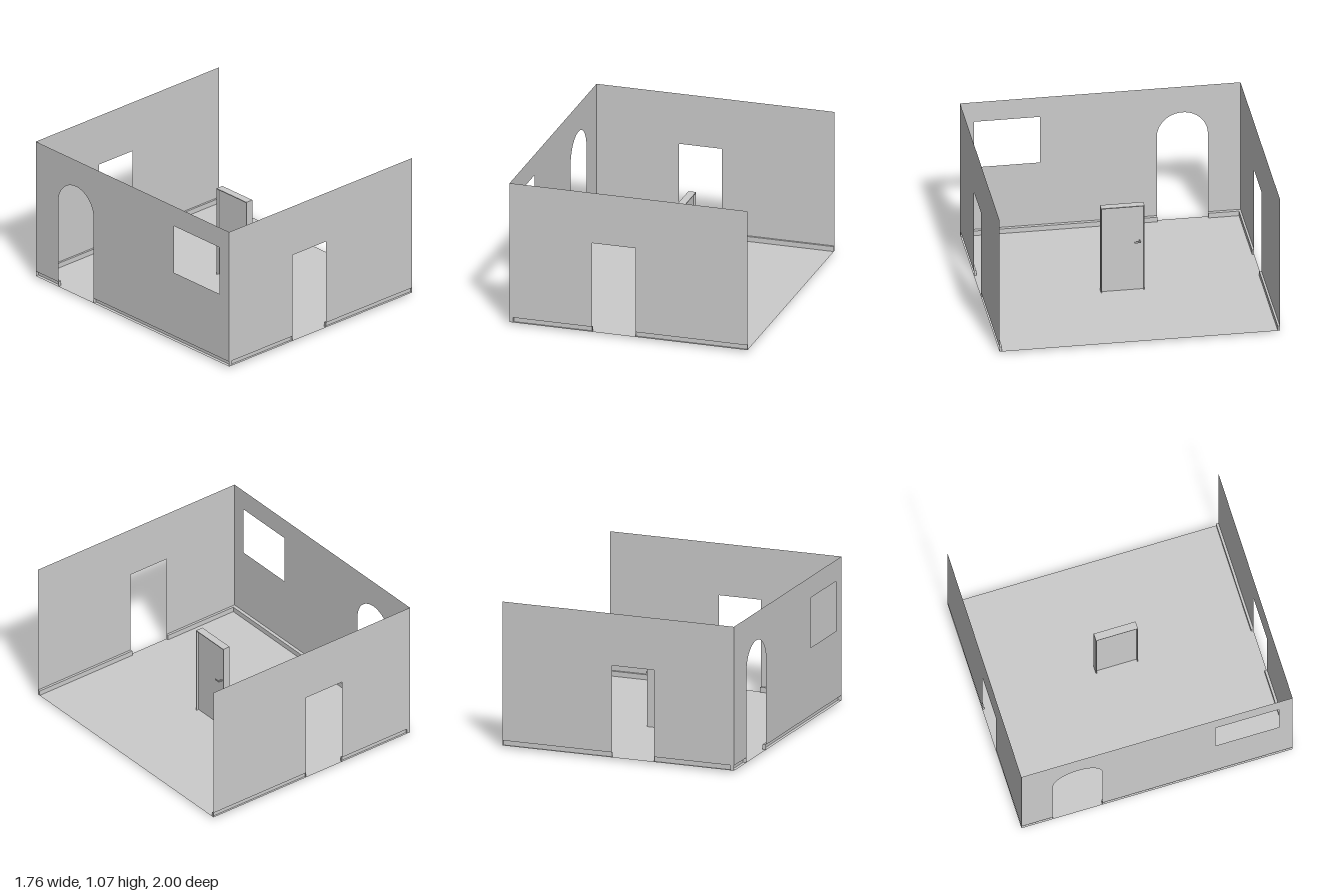
import * as THREE from 'three';

const FLOOR = 0.018, TOP = 1.07, SKIRT = 0.055, X = 0.88, Z = 1;

export function createModel() {
  const model = new THREE.Group();
  const sheet = new THREE.MeshStandardMaterial({ color: 0xcccccc, side: THREE.DoubleSide });

  const add = (parent, name, geometry, x = 0, y = 0, z = 0) => {
    const mesh = new THREE.Mesh(geometry, sheet);
    mesh.name = name;
    mesh.position.set(x, y, z);
    parent.add(mesh);
    return mesh;
  };

  // Wall sheet running from u = -half to half, with one opening cut up from the floor
  function wallShape(half, a, b, head, arched) {
    const s = new THREE.Shape();
    s.moveTo(-half, SKIRT);
    s.lineTo(a, SKIRT);
    s.lineTo(a, head);
    if (arched) s.absarc((a + b) / 2, head, (b - a) / 2, Math.PI, 0, true);
    else s.lineTo(b, head);
    s.lineTo(b, SKIRT);
    s.lineTo(half, SKIRT);
    s.lineTo(half, TOP);
    s.lineTo(-half, TOP);
    s.closePath();
    return s;
  }

  // Skirting shell, open towards the outside: face, ledge and two ends
  function skirting(parent, u0, u1, depth) {
    const g = new THREE.Group();
    g.name = 'skirting';
    const h = SKIRT - FLOOR, mid = (u0 + u1) / 2, y = FLOOR + h / 2;
    add(g, 'skirtingFace', new THREE.PlaneGeometry(u1 - u0, h), mid, y, -depth);
    add(g, 'skirtingLedge', new THREE.PlaneGeometry(u1 - u0, Math.abs(depth)).rotateX(-Math.PI / 2), mid, SKIRT, -depth / 2);
    for (const u of [u0, u1])
      add(g, 'skirtingEnd', new THREE.PlaneGeometry(Math.abs(depth), h).rotateY(Math.PI / 2), u, y, -depth / 2);
    parent.add(g);
  }

  add(model, 'floor', new THREE.PlaneGeometry(2 * X, 2 * Z).rotateX(-Math.PI / 2), 0, FLOOR, 0);

  // Front and back walls with doorways
  for (const [name, z, depth] of [['frontWall', Z, 0.018], ['backWall', -Z, -0.015]]) {
    const wall = new THREE.Group();
    wall.name = name;
    wall.position.z = z;
    add(wall, name + 'Sheet', new THREE.ShapeGeometry(wallShape(X, -0.27, 0.05, 0.69, false)));
    skirting(wall, -X + 0.025, -0.27, depth);
    skirting(wall, 0.05, X, depth);
    model.add(wall);
  }

  // Side wall with archway and window
  const side = new THREE.Group();
  side.name = 'sideWall';
  side.rotation.y = -Math.PI / 2;
  side.position.x = -X;
  const shape = wallShape(Z, -0.767, -0.403, 0.683, true);
  const hole = new THREE.Path();
  hole.moveTo(0.43, 0.55);
  hole.lineTo(0.9, 0.55);
  hole.lineTo(0.9, 0.915);
  hole.lineTo(0.43, 0.915);
  hole.closePath();
  shape.holes.push(hole);
  add(side, 'sideWallSheet', new THREE.ShapeGeometry(shape, 24));
  skirting(side, -Z, -0.767, 0.025);
  skirting(side, -0.403, Z, 0.025);
  model.add(side);

  // Freestanding door: thin frame, leaf and lever handle
  const door = new THREE.Group();
  door.name = 'door';
  door.position.x = 0.1;
  const H = 0.69, W = 0.31, D = 0.056, T = 0.006;
  for (const s of [-1, 1])
    add(door, 'doorJamb', new THREE.BoxGeometry(D, H, T), 0, H / 2, s * (W - T) / 2);
  for (const y of [T / 2, H - T / 2])
    add(door, 'doorRail', new THREE.BoxGeometry(D, T, W - 2 * T), 0, y, 0);
  add(door, 'doorLeaf', new THREE.BoxGeometry(0.02, H - 2 * T, W - 2 * T), 0, H / 2, 0);
  add(door, 'handleStem', new THREE.BoxGeometry(0.03, 0.01, 0.008), 0.025, 0.407, -0.121);
  add(door, 'handleLever', new THREE.BoxGeometry(0.006, 0.01, 0.045), 0.042, 0.407, -0.103);
  model.add(door);

  return model;
}
